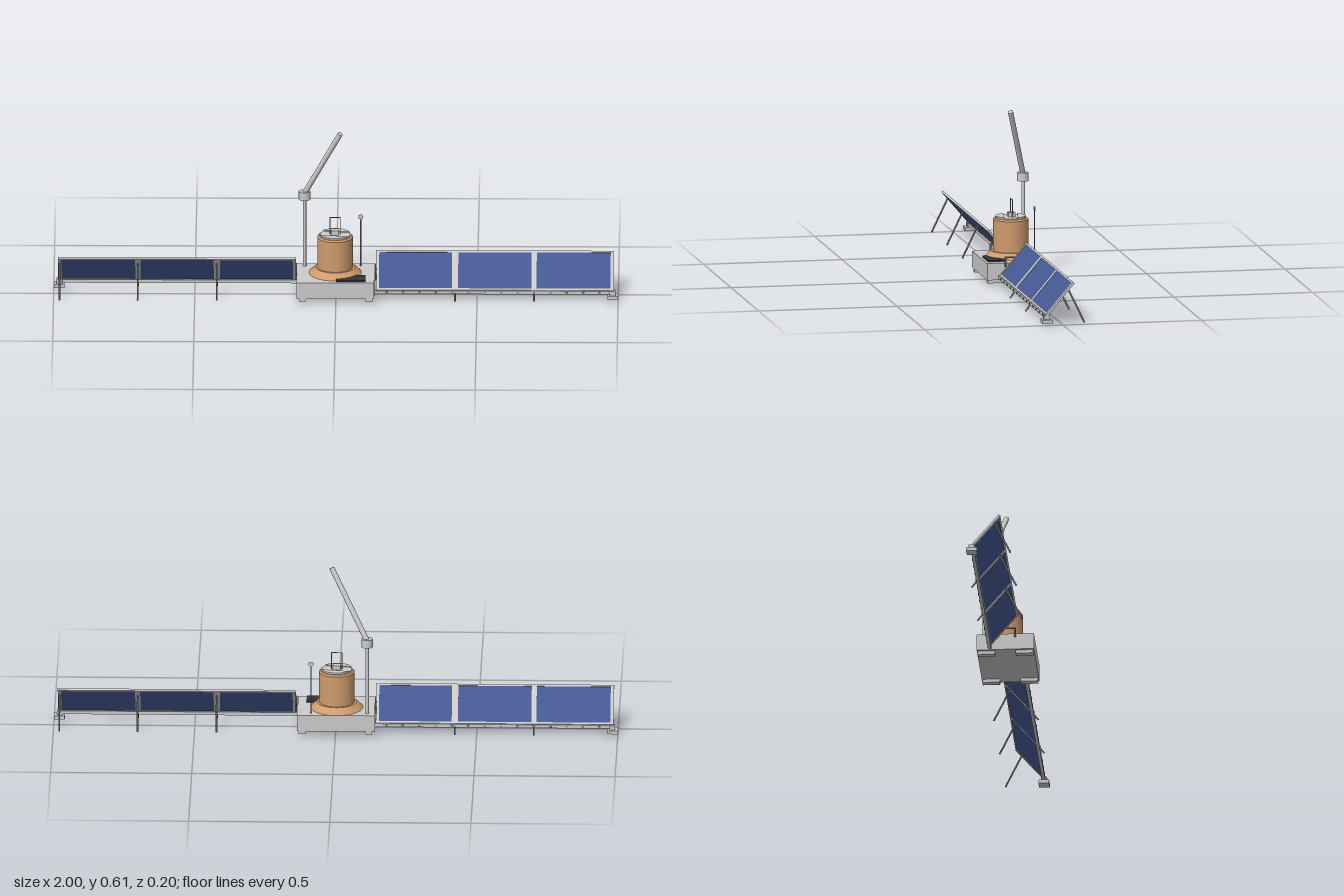
import * as THREE from 'three';

const mat = (name, color, side = THREE.FrontSide) => {
  const m = new THREE.MeshStandardMaterial({ color, side });
  m.name = name;
  return m;
};

export function createModel() {
  const grey = mat('light grey metal', 0xcccccc);
  const steel = mat('steel', 0x8c8c8c);
  const tan = mat('tan', 0xcf9c6d);
  const blue = mat('solar blue', 0x465a96);
  const black = mat('black', 0x333333);

  const model = new THREE.Group();
  model.name = 'solarStation';

  const add = (parent, name, geo, material, x = 0, y = 0, z = 0) => {
    const mesh = new THREE.Mesh(geo, material);
    mesh.name = name;
    mesh.position.set(x, y, z);
    parent.add(mesh);
    return mesh;
  };
  // Box given by its two opposite corners
  const box = (parent, name, material, [x0, y0, z0], [x1, y1, z1]) =>
    add(parent, name, new THREE.BoxGeometry(x1 - x0, y1 - y0, z1 - z0), material,
      (x0 + x1) / 2, (y0 + y1) / 2, (z0 + z1) / 2);
  // Round rod between two points
  const rod = (parent, name, material, a, b, r, sides = 8) => {
    const p = new THREE.Vector3(...a), q = new THREE.Vector3(...b);
    const d = q.clone().sub(p);
    const mesh = add(parent, name, new THREE.CylinderGeometry(r, r, d.length(), sides), material);
    mesh.position.copy(p).add(q).multiplyScalar(0.5);
    mesh.quaternion.setFromUnitVectors(new THREE.Vector3(0, 1, 0), d.normalize());
    return mesh;
  };

  // Base with four feet
  box(model, 'base', grey, [-0.14, 0.017, -0.101], [0.136, 0.077, 0.102]);
  for (const sx of [-1, 1]) for (const sz of [-1, 1]) {
    const foot = new THREE.Group();
    foot.name = 'baseFoot';
    foot.position.set(sx * 0.118, 0, sz * 0.068);
    box(foot, 'footPad', grey, [-0.012, 0.005, -0.031], [0.012, 0.018, 0.031]);
    model.add(foot);
  }
  box(model, 'deckPlate', black, [0, 0.076, 0.033], [0.105, 0.083, 0.092]);

  // Drum with sloping skirt
  const drum = new THREE.Group();
  drum.name = 'drum';
  drum.position.set(-0.003, 0, -0.01);
  model.add(drum);
  add(drum, 'skirt', new THREE.CylinderGeometry(0.071, 0.093, 0.022, 40), tan, 0, 0.088, 0);
  add(drum, 'drumBody', new THREE.CylinderGeometry(0.063, 0.063, 0.114, 40), tan, 0, 0.154, 0);
  add(drum, 'drumShoulder', new THREE.CylinderGeometry(0.058, 0.063, 0.006, 40), tan, 0, 0.214, 0);
  add(drum, 'lid', new THREE.CylinderGeometry(0.053, 0.053, 0.003, 40), grey, 0, 0.2185, 0);

  // Raised wedges on the lid
  for (const start of [0.3, 0.3 + Math.PI]) {
    const wedge = new THREE.Shape();
    wedge.moveTo(0, 0);
    wedge.absarc(0, 0, 0.054, start, start + 2.2, false);
    wedge.closePath();
    const geo = new THREE.ExtrudeGeometry(wedge, { depth: 0.004, bevelEnabled: false, curveSegments: 16 });
    geo.rotateX(-Math.PI / 2);
    add(drum, 'lidWedge', geo, grey, 0, 0.2195, 0);
  }
  box(drum, 'lidBox', grey, [-0.014, 0.219, -0.014], [0.014, 0.236, 0.011]);

  // Wire loop above the lid
  for (const x of [-0.018, 0.018])
    rod(drum, 'loopPost', steel, [x, 0.219, -0.003], [x, 0.283, -0.003], 0.0016);
  rod(drum, 'loopTop', steel, [-0.0195, 0.282, -0.003], [0.0195, 0.282, -0.003], 0.0016);

  // Mast, collar and leaning arm
  rod(model, 'mast', grey, [-0.112, 0.076, -0.077], [-0.112, 0.335, -0.077], 0.0062, 16);
  rod(model, 'mastCollar', grey, [-0.112, 0.328, -0.076], [-0.112, 0.358, -0.076], 0.0205, 24);
  rod(model, 'mastArm', grey, [-0.112, 0.35, -0.077], [0.015, 0.599, -0.006], 0.0095, 20);

  // Thin aerial with a round plate
  rod(model, 'aerial', steel, [0.087, 0.076, -0.078], [0.087, 0.255, -0.078], 0.002);
  rod(model, 'aerialDisc', grey, [0.087, 0.261, -0.08], [0.087, 0.261, -0.077], 0.009, 20);

  // One solar wing and its side handle, made for +x
  const makeWing = () => {
    const wing = new THREE.Group();
    wing.name = 'solarWing';

    const panel = new THREE.Group();
    panel.name = 'panelFrame';
    panel.position.set(0, 0.09, 0.0065);
    panel.rotation.x = -0.705;
    wing.add(panel);
    for (const y of [-0.0715, 0.0715])
      box(panel, 'frameRail', grey, [0.142, y - 0.0035, -0.004], [0.985, y + 0.0035, 0.004]);
    for (const [x, w] of [[0.1475, 0.011], [0.422, 0.022], [0.702, 0.018], [0.979, 0.012]])
      box(panel, 'frameBar', grey, [x - w / 2, -0.07, -0.0038], [x + w / 2, 0.07, 0.0038]);
    for (const [x0, x1] of [[0.15, 0.414], [0.43, 0.696], [0.708, 0.976]])
      box(panel, 'solarPanel', blue, [x0, -0.069, -0.0025], [x1, 0.069, 0.0025]);

    // Back legs
    for (const x of [0.422, 0.702, 0.979])
      rod(wing, 'backLeg', steel, [x, 0.126, -0.021], [x, 0.002, -0.081], 0.0032);

    // Ground rail with brackets and the end foot
    box(wing, 'bottomRail', grey, [0.13, 0.021, 0.049], [0.985, 0.033, 0.061]);
    for (let i = 0; i < 14; i++) {
      const x = 0.18 + i * 0.058;
      box(wing, 'railBolt', steel, [x - 0.004, 0.024, 0.06], [x + 0.004, 0.03, 0.063]);
    }
    for (const x of [0.422, 0.702])
      rod(wing, 'frontPeg', steel, [x, 0, 0.077], [x, 0.027, 0.057], 0.003);
    box(wing, 'endFootPost', grey, [0.97, 0.016, 0.046], [0.99, 0.034, 0.067]);
    box(wing, 'endFoot', grey, [0.962, 0.005, 0.037], [1, 0.018, 0.075]);

    // Carrying handle beside the base
    for (const z of [-0.035, 0.037])
      rod(wing, 'handlePost', steel, [0.141, 0.064, z], [0.141, 0.099, z], 0.003);
    rod(wing, 'handleBar', steel, [0.141, 0.098, -0.038], [0.141, 0.098, 0.04], 0.003);
    return wing;
  };
  const left = makeWing();
  left.name = 'leftSolarWing';
  const right = makeWing();
  right.name = 'rightSolarWing';
  right.rotation.y = Math.PI;
  model.add(left, right);

  return model;
}
